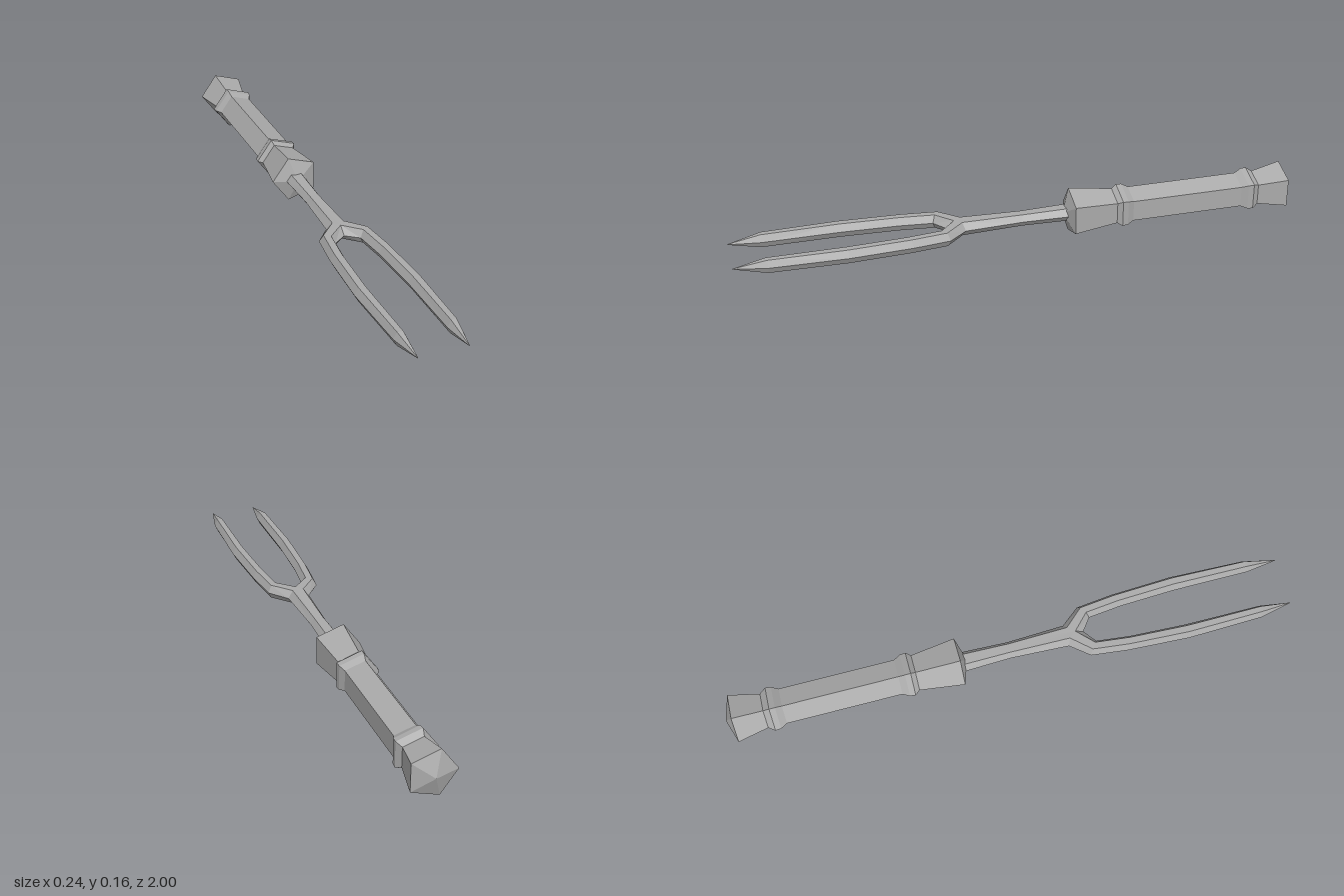
import * as THREE from 'three';

const MID = 0.085; // height of the long axis

// Lofts six-sided sections. Each row: outer x,z, outer ridge x,z, inner ridge x,z, inner x,z, half height.
function loftHalf(rows, side) {
  const pos = [], idx = [];
  for (const [ox, oz, ax, az, bx, bz, ix, iz, h] of rows) {
    const ring = [[ox, 0, oz], [ax, h, az], [bx, h, bz], [ix, 0, iz], [bx, -h, bz], [ax, -h, az]];
    for (const [x, y, z] of ring) pos.push(x * side, y + MID, z);
  }
  const tri = (a, b, c) => {
    // skip faces lying on the shared centre plane
    if ([a, b, c].every(i => pos[i * 3] === 0 || Object.is(pos[i * 3], -0))) return;
    if (side > 0) idx.push(a, b, c); else idx.push(a, c, b);
  };
  for (let i = 0; i < rows.length - 1; i++) {
    for (let j = 0; j < 6; j++) {
      const k = (j + 1) % 6, a = i * 6 + j, b = i * 6 + k;
      tri(a, b, b + 6);
      tri(a, b + 6, a + 6);
    }
  }
  const g = new THREE.BufferGeometry();
  g.setAttribute('position', new THREE.Float32BufferAttribute(pos, 3));
  g.setIndex(idx);
  g.computeVertexNormals();
  return g;
}

// Section of the shaft half, closed on the centre plane
const shaft = (z, w, h) => [w, z, w * 0.52, z, 0, z, 0, z, h];

// Section of a tine between an outer and an inner point
function tine(ox, oz, ix, iz, h) {
  const mix = t => [ox + (ix - ox) * t, oz + (iz - oz) * t];
  return [ox, oz, ...mix(0.27), ...mix(0.73), ix, iz, h];
}

export function createModel() {
  const group = new THREE.Group();
  const metal = new THREE.MeshStandardMaterial({ color: 0xaaaaaa, flatShading: true });
  metal.name = 'grey metal';

  // Five-sided handle with two collars and pointed end caps: [distance back, radius]
  const profile = [
    [0.15, 0], [0.178, 0.086],
    [0.335, 0.065], [0.352, 0.079], [0.372, 0.077], [0.395, 0.064],
    [0.80, 0.064], [0.823, 0.077], [0.843, 0.079], [0.865, 0.063],
    [0.972, 0.086], [1.0, 0],
  ].map(([d, r]) => new THREE.Vector2(r, d));
  const handleGeo = new THREE.LatheGeometry(profile, 5, -Math.PI / 2);
  handleGeo.rotateX(-Math.PI / 2);
  const handle = new THREE.Mesh(handleGeo, metal);
  handle.name = 'handle';
  handle.position.set(0.003, MID, 0);
  group.add(handle);

  // Shaft splitting into two tines, built as mirrored halves
  const rows = [
    shaft(-0.2, 0.037, 0.024),
    shaft(0, 0.03, 0.021),
    [0.039, 0.205, 0.02, 0.213, 0, 0.238, 0, 0.268, 0.025], // crotch
    tine(0.092, 0.27, 0.045, 0.302, 0.025),
    tine(0.107, 0.4, 0.058, 0.42, 0.025),
    tine(0.118, 0.62, 0.067, 0.62, 0.025),
    tine(0.110, 0.885, 0.067, 0.89, 0.024),
    tine(0.085, 1.0, 0.083, 1.0, 0.001), // tip
  ];
  for (const [side, name] of [[1, 'leftForkHalf'], [-1, 'rightForkHalf']]) {
    const half = new THREE.Mesh(loftHalf(rows, side), metal);
    half.name = name;
    group.add(half);
  }
  return group;
}
